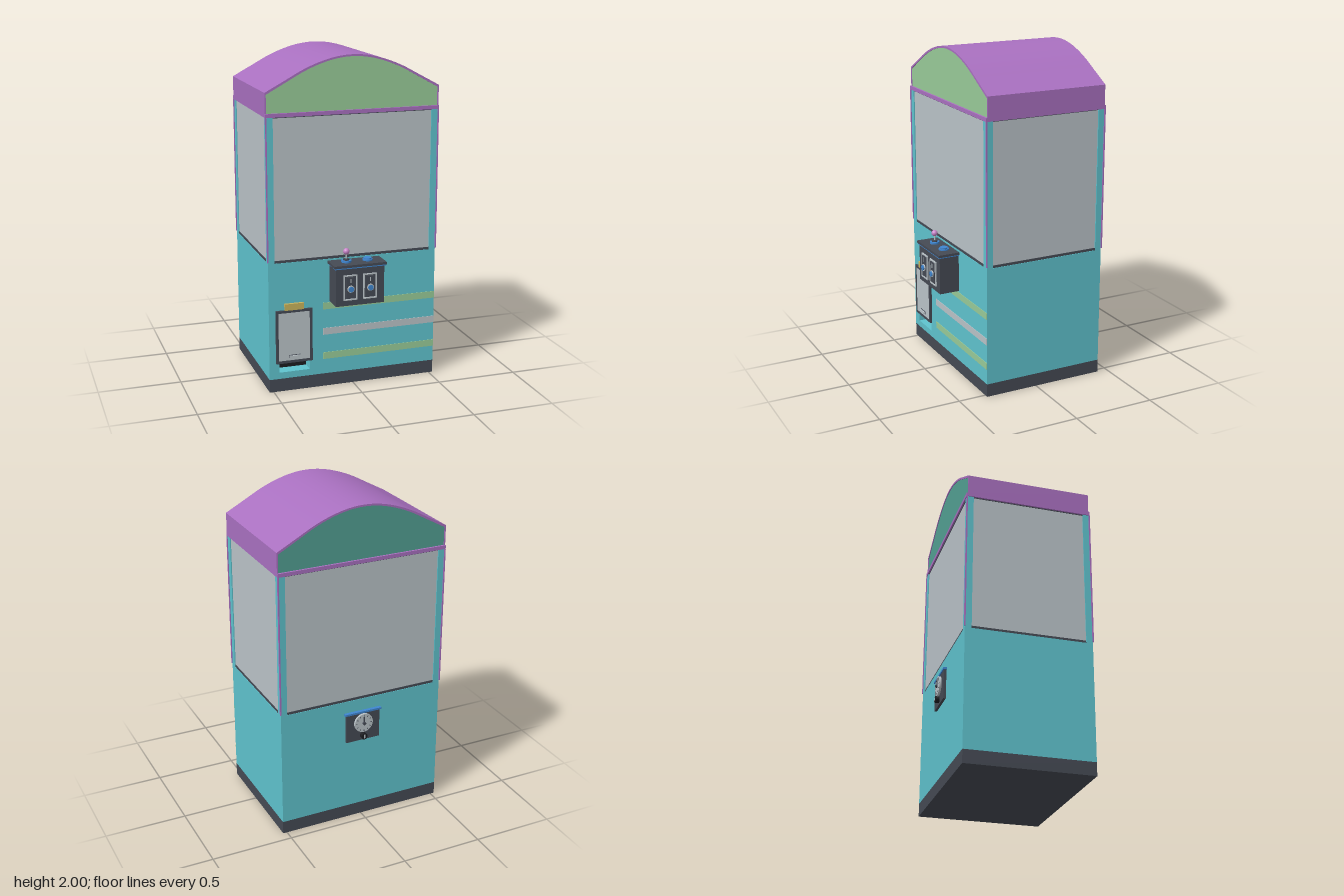
import * as THREE from 'three';
import { toCreasedNormals } from 'three/addons/utils/BufferGeometryUtils.js';

const mat = (name, color, side = THREE.FrontSide) => {
  const m = new THREE.MeshStandardMaterial({ color, side });
  m.name = name;
  return m;
};

export function createModel() {
  const teal = mat('teal', 0x5fc3ce), green = mat('light green', 0x98cb98);
  const jade = mat('jade', 0x53a093), purple = mat('purple', 0xa970c0);
  const dark = mat('charcoal', 0x454a54), black = mat('black', 0x1c1d20);
  const pale = mat('pale grey', 0xbac3c8), blue = mat('blue', 0x3f86d0);
  const yellow = mat('yellow', 0xc8b35c), pink = mat('pink', 0xc884c8);

  const root = new THREE.Group();
  root.name = 'clawMachine';
  const group = (name, parent = root) => {
    const g = new THREE.Group();
    g.name = name;
    parent.add(g);
    return g;
  };
  const add = (parent, name, geo, m, x = 0, y = 0, z = 0) => {
    const mesh = new THREE.Mesh(geo, m);
    mesh.name = name;
    mesh.position.set(x, y, z);
    parent.add(mesh);
    return mesh;
  };
  // Box given by its limits on each axis
  const box = (parent, name, m, x0, x1, y0, y1, z0, z1) =>
    add(parent, name, new THREE.BoxGeometry(x1 - x0, y1 - y0, z1 - z0), m,
      (x0 + x1) / 2, (y0 + y1) / 2, (z0 + z1) / 2);
  // Upright disc, or one facing z
  const disc = (parent, name, m, r, h, x, y, z, facing = false) => {
    const g = new THREE.CylinderGeometry(r, r, h, 24);
    if (facing) g.rotateX(Math.PI / 2);
    return add(parent, name, g, m, x, y, z);
  };
  const rect = (T, x0, x1, y0, y1) => {
    const s = new T();
    s.moveTo(x0, y0).lineTo(x1, y0).lineTo(x1, y1).lineTo(x0, y1).closePath();
    return s;
  };
  const extrude = (shape, depth) =>
    new THREE.ExtrudeGeometry(shape, { depth, bevelEnabled: false });

  // Lower cabinet, with the prize chute cut into its front
  const cabinet = group('cabinet');
  box(cabinet, 'plinth', dark, -0.525, 0.525, 0, 0.08, -0.435, 0.33);
  box(cabinet, 'cabinetCore', teal, -0.525, 0.525, 0.08, 0.8, -0.435, 0.25);
  const front = rect(THREE.Shape, -0.525, 0.525, 0.08, 0.8);
  front.holes.push(rect(THREE.Path, -0.465, -0.275, 0.12, 0.2));
  add(cabinet, 'cabinetFront', extrude(front, 0.08), teal, 0, 0, 0.25);
  box(cabinet, 'chuteBack', black, -0.465, -0.275, 0.12, 0.2, 0.25, 0.254);
  [[0.51, green], [0.35, pale], [0.195, green]].forEach(([y, m]) =>
    box(cabinet, 'stripe', m, -0.19, 0.525, y - 0.021, y + 0.021, 0.33, 0.333));

  // Window section with corner posts
  const windows = group('windowSection');
  box(windows, 'glass', pale, -0.519, 0.519, 0.8, 1.66, -0.429, 0.324);
  box(windows, 'sill', dark, -0.522, 0.522, 0.8, 0.815, -0.432, 0.327);
  box(windows, 'windowTopTrim', dark, -0.521, 0.521, 1.655, 1.66, -0.431, 0.326);
  for (const s of [-1, 1]) {
    for (const [z, d] of [[0.33, 1], [-0.435, -1]]) {
      add(windows, 'cornerPost', new THREE.BoxGeometry(0.04, 0.86, 0.04), teal,
        s * 0.505, 1.23, z - d * 0.02);
      add(windows, 'cornerTrim', new THREE.BoxGeometry(0.008, 0.85, 0.008), purple,
        s * 0.5265, 1.235, z + d * 0.001);
    }
  }

  // Arched roof shell with recessed gables
  const roof = group('roof');
  box(roof, 'roofBand', purple, -0.53, 0.53, 1.66, 1.682, -0.44, 0.334);
  const half = [[0.53, 1.802], [0.4, 1.872], [0.3, 1.925], [0.2, 1.965], [0.1, 1.991]];
  const arc = new THREE.SplineCurve([
    ...half, [0, 2], ...half.map(([x, y]) => [-x, y]).reverse(),
  ].map(([x, y]) => new THREE.Vector2(x, y))).getPoints(40);
  const inner = arc.map((p) => new THREE.Vector2(p.x * 0.985, p.y - 0.011));
  const bottom = 1.68;
  const shell = new THREE.Shape([
    new THREE.Vector2(0.53, bottom), ...arc, new THREE.Vector2(-0.53, bottom),
    new THREE.Vector2(-0.522, bottom), ...inner.slice().reverse(), new THREE.Vector2(0.522, bottom),
  ]);
  add(roof, 'roofShell', toCreasedNormals(extrude(shell, 0.758), 0.4), purple, 0, 0, -0.432);
  const gable = new THREE.Shape([
    new THREE.Vector2(0.522, bottom), ...inner, new THREE.Vector2(-0.522, bottom),
  ]);
  add(roof, 'frontGable', extrude(gable, 0.01), green, 0, 0, 0.312);
  add(roof, 'backGable', extrude(gable, 0.01), jade, 0, 0, -0.428);

  // Control box with joystick, button and two coin slots
  const control = group('controlBox');
  box(control, 'controlCase', dark, -0.15, 0.15, 0.54, 0.77, 0.33, 0.455);
  box(control, 'blueTrim', blue, -0.157, 0.157, 0.768, 0.775, 0.33, 0.462);
  box(control, 'controlLid', dark, -0.162, 0.162, 0.775, 0.79, 0.33, 0.465);
  disc(control, 'joystickBase', blue, 0.03, 0.012, -0.065, 0.796, 0.39);
  disc(control, 'joystickCollar', dark, 0.018, 0.01, -0.065, 0.806, 0.39);
  disc(control, 'joystickShaft', pale, 0.005, 0.05, -0.065, 0.825, 0.39);
  add(control, 'joystickBall', new THREE.SphereGeometry(0.019, 20, 14), pink, -0.065, 0.855, 0.39);
  disc(control, 'buttonRing', blue, 0.031, 0.008, 0.068, 0.794, 0.39);
  disc(control, 'playButton', blue, 0.024, 0.016, 0.068, 0.798, 0.39);
  for (const x of [-0.062, 0.06]) {
    const slot = group('coinSlot', control);
    const frame = rect(THREE.Shape, -0.042, 0.042, -0.077, 0.077);
    frame.holes.push(rect(THREE.Path, -0.035, 0.035, -0.07, 0.07));
    add(slot, 'slotFrame', extrude(frame, 0.009), pale, x, 0.652, 0.455);
    box(slot, 'slotPlate', dark, x - 0.028, x + 0.028, 0.588, 0.716, 0.455, 0.465);
    disc(slot, 'slotButtonRing', pale, 0.021, 0.014, x, 0.645, 0.464, true);
    disc(slot, 'slotButton', blue, 0.016, 0.02, x, 0.645, 0.468, true);
    box(slot, 'coinOpening', pale, x - 0.003, x + 0.003, 0.682, 0.708, 0.465, 0.468);
  }

  // Prize door above the chute
  const door = group('prizeDoor');
  box(door, 'doorFrame', dark, -0.485, -0.26, 0.18, 0.51, 0.33, 0.338);
  const rim = rect(THREE.Shape, -0.485, -0.26, 0.18, 0.51);
  rim.holes.push(rect(THREE.Path, -0.47, -0.277, 0.196, 0.495));
  add(door, 'doorRim', extrude(rim, 0.006), dark, 0, 0, 0.338);
  box(door, 'doorPanel', pale, -0.47, -0.277, 0.196, 0.495, 0.338, 0.342);
  box(door, 'handleEdge', dark, -0.408, -0.337, 0.212, 0.23, 0.342, 0.345);
  box(door, 'doorHandle', pale, -0.405, -0.34, 0.215, 0.227, 0.342, 0.354);
  box(door, 'doorTab', yellow, -0.43, -0.312, 0.51, 0.55, 0.33, 0.346);

  // Dial panel on the back
  const dial = group('backDial');
  box(dial, 'dialPlate', dark, -0.11, 0.11, 0.53, 0.715, -0.45, -0.435);
  box(dial, 'dialHood', blue, -0.12, 0.12, 0.712, 0.724, -0.456, -0.435);
  disc(dial, 'dialFace', pale, 0.06, 0.014, 0, 0.648, -0.456, true);
  for (let i = 0; i < 12; i++) {
    const a = (i * Math.PI) / 6;
    add(dial, 'dialMark', new THREE.BoxGeometry(0.004, 0.009, 0.004), dark,
      Math.sin(a) * 0.048, 0.648 + Math.cos(a) * 0.048, -0.463).rotation.z = -a;
  }
  box(dial, 'dialHand', dark, -0.004, 0.004, 0.64, 0.69, -0.468, -0.462);
  disc(dial, 'dialHub', dark, 0.01, 0.014, 0, 0.648, -0.467, true);
  disc(dial, 'lock', black, 0.02, 0.024, 0, 0.562, -0.462, true);
  box(dial, 'lockKey', pale, -0.004, 0.004, 0.55, 0.574, -0.476, -0.473);

  return root;
}
